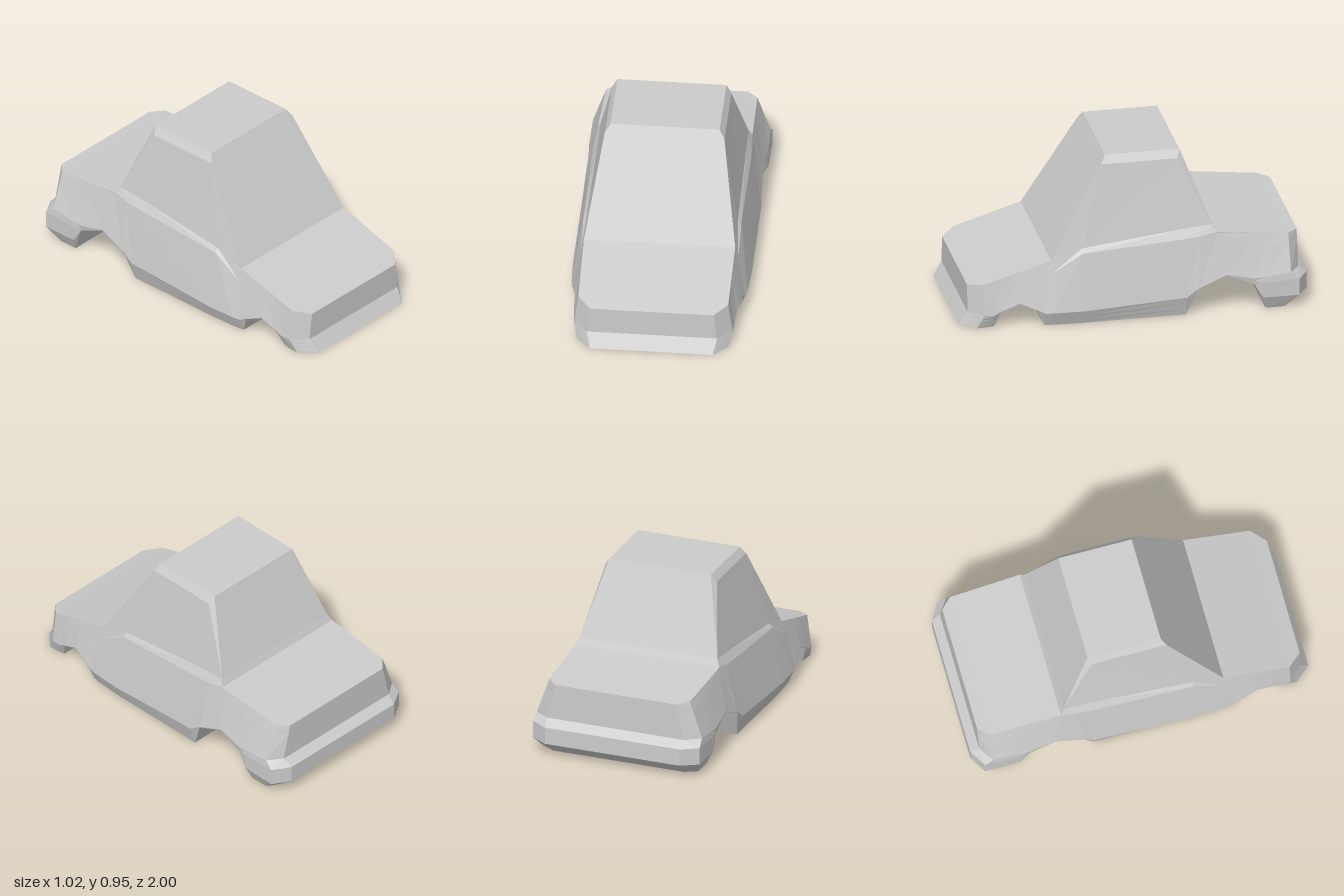
import * as THREE from 'three';

const { lerp, clamp } = THREE.MathUtils;
const mix = (a, b, f) => a.map((v, i) => lerp(v, b[i], f));

// Straight-line curve through [z, value] knots, ordered front to rear.
const curve = (...knots) => (z) => {
  const i = clamp(knots.findIndex((k) => k[0] <= z), 1, knots.length - 1);
  const [z0, v0] = knots[i - 1], [z1, v1] = knots[i];
  return lerp(v0, v1, (z - z0) / (z1 - z0));
};

// Long lines of the flank
const sillX = curve([0.87, 0.45], [0.67, 0.467], [0.48, 0.5], [0.3, 0.508], [-0.29, 0.507], [-0.52, 0.496], [-0.68, 0.507], [-0.89, 0.505]);
const sillY = curve([0.87, 0.08], [0.3, 0.085], [-0.29, 0.117], [-0.68, 0.2], [-0.89, 0.22]);
const topX = curve([0.48, 0.43], [-0.475, 0.44], [-0.89, 0.43]);
const topY = curve([0.87, 0.262], [0.48, 0.38], [-0.475, 0.478], [-0.89, 0.435]);

// Left half of a cross-section, bottom to top: floor edge, two bumper edges,
// sill crease, shoulder, window or lid edge, and the two edges of the roof chamfer.
function section(z, y = 0, custom = {}) {
  const x = sillX(z), lift = Math.min(1, y / sillY(z));
  const {
    floor = [x - 0.035 * (1 - lift), y, z],
    sill = [x, Math.max(sillY(z), y + 0.005), z],
    top = [topX(z), topY(z), z],
    shoulder = mix(sill, top, 0.75),
    bumper = [mix(floor, sill, 1 / 3), mix(floor, sill, 2 / 3)],
    roof = [top, top],
  } = custom;
  return [floor, ...bumper, sill, shoulder, top, ...roof];
}

// Five sections around a wheel opening; custom holds overrides per section.
function wheelArch(center, halfWidth, height, custom = []) {
  const outline = [[1, 0], [0.7, 0.71], [0, 1], [-0.7, 0.71], [-1, 0]];
  return outline.map(([dz, dy], i) => section(center + dz * halfWidth, dy * height, custom[i]));
}

function bodySections() {
  const rearWindowFoot = [0.42, 0.52, -0.455];
  return [
    // nose
    section(0.95, 0, { floor: [0.35, 0, 1], sill: [0.37, 0.08, 0.95], top: [0.35, 0.24, 0.95] }),
    section(0.87, 0, { floor: [0.43, 0, 0.91] }),
    ...wheelArch(0.668, 0.142, 0.145),
    // windshield foot and front roof edge
    section(0.48),
    section(0.3, 0, {
      shoulder: [0.448, 0.415, 0.3], top: [0.428, 0.44, 0.3],
      roof: [[0.34, 0.91, 0.171], [0.31, 0.955, 0.145]],
    }),
    // rear roof edge, rear window and rear wheel opening
    ...wheelArch(-0.52, 0.23, 0.23, [
      {
        shoulder: [0.45, 0.455, -0.29], top: [0.421, 0.507, -0.29],
        roof: [[0.34, 0.91, -0.268], [0.31, 0.955, -0.285]],
      },
      { shoulder: [0.448, 0.462, -0.38], top: rearWindowFoot },
      { shoulder: [0.44, 0.472, -0.48], top: [0.44, 0.478, -0.475] },
      {},
      { bumper: [[0.508, 0.08, -0.73], [0.51, 0.17, -0.72]] },
    ]),
    // tail and rear bumper
    section(-0.89, 0, { floor: [0.47, 0, -0.86], bumper: [[0.51, 0.08, -0.94], [0.51, 0.18, -0.94]] }),
    section(-0.95, 0, {
      floor: [0.4, 0, -0.9], bumper: [[0.41, 0.08, -1], [0.41, 0.18, -1]],
      sill: [0.42, 0.22, -0.95], top: [0.37, 0.43, -0.95],
    }),
  ];
}

function loft(rings) {
  const positions = [];
  const triangle = (a, b, c) => {
    const corners = [a, b, c].map((p) => new THREE.Vector3(...p));
    if (new THREE.Triangle(...corners).getArea() > 1e-7) positions.push(...a, ...b, ...c);
  };
  const quad = (a, b, c, d) => { triangle(a, b, c); triangle(a, c, d); };
  const count = rings[0].length;

  // skin between neighbouring rings, floor included; the flanks use mirrored diagonals
  for (let i = 0; i < rings.length - 1; i++) {
    const p = rings[i], q = rings[i + 1];
    for (let j = 0; j < count; j++) {
      const next = (j + 1) % count;
      if (j < count / 2) quad(p[j], q[j], q[next], p[next]);
      else quad(q[j], q[next], p[next], p[j]);
    }
  }
  // nose and tail panels, strip by strip
  const first = rings[0], last = rings[rings.length - 1];
  for (let j = 0; j < count / 2 - 1; j++) {
    const o = count - 1 - j;
    quad(first[j], first[j + 1], first[o - 1], first[o]);
    quad(last[o], last[o - 1], last[j + 1], last[j]);
  }
  const geometry = new THREE.BufferGeometry();
  geometry.setAttribute('position', new THREE.Float32BufferAttribute(positions, 3));
  geometry.computeVertexNormals();
  return geometry;
}

export function createModel() {
  const group = new THREE.Group();
  group.name = 'car';
  const rings = bodySections().map((left) => {
    const right = left.map(([x, y, z]) => [-x, y, z]).reverse();
    return [...left, ...right];
  });
  const body = new THREE.Mesh(
    loft(rings),
    new THREE.MeshStandardMaterial({ color: 0xcccccc, flatShading: true }),
  );
  body.name = 'carBody';
  group.add(body);
  return group;
}
